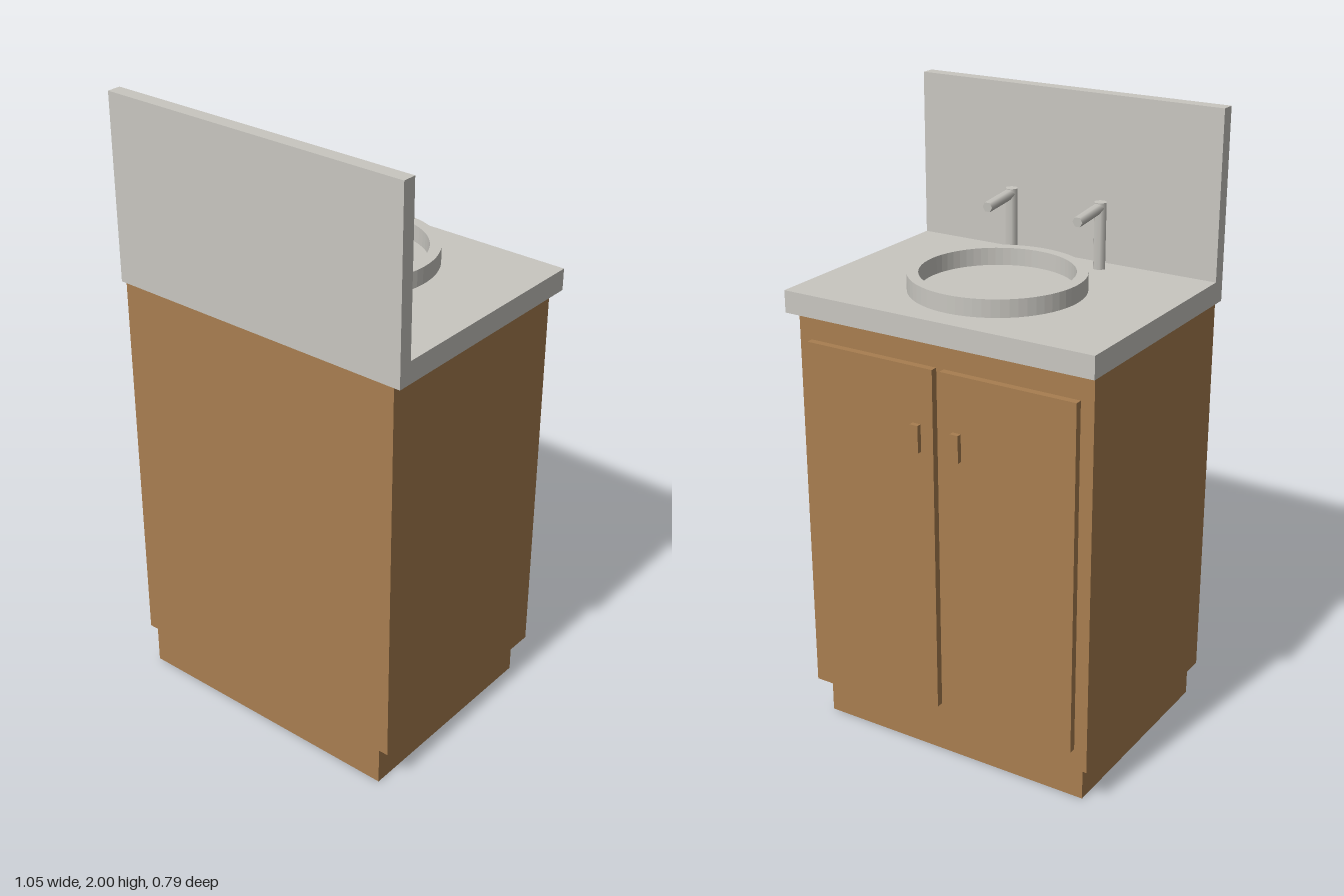
import * as THREE from 'three';

const wood = new THREE.MeshStandardMaterial({ color: 0xa87e50, side: THREE.DoubleSide });
wood.name = 'wood';
const stone = new THREE.MeshStandardMaterial({ color: 0xc8c6c0 });
stone.name = 'paleStone';

export function createModel() {
  const model = new THREE.Group();
  model.name = 'washbasinCabinet';

  const add = (name, geometry, material, parent = model) => {
    const mesh = new THREE.Mesh(geometry, material);
    mesh.name = name;
    parent.add(mesh);
    return mesh;
  };
  // Box given by its limits on each axis
  const block = (x0, x1, y0, y1, z0, z1) =>
    new THREE.BoxGeometry(x1 - x0, y1 - y0, z1 - z0)
      .translate((x0 + x1) / 2, (y0 + y1) / 2, (z0 + z1) / 2);

  // Cabinet body; its doors are on the -z side
  add('cabinetBody', block(-0.507, 0.507, 0.125, 1.405, -0.355, 0.395), wood);

  // Recessed plinth: four thin walls, open underneath
  const plinth = block(-0.475, 0.475, 0, 0.125, -0.32, 0.395);
  const faces = Array.from(plinth.index.array);
  plinth.setIndex([...faces.slice(0, 12), ...faces.slice(24)]);
  plinth.clearGroups();
  add('plinth', plinth, wood);

  // Countertop and backsplash in one L-shaped section, extruded along x
  const section = new THREE.Shape([
    [-0.395, 1.405], [0.395, 1.405], [0.395, 2], [0.35, 2], [0.35, 1.475], [-0.395, 1.475],
  ].map(([z, y]) => new THREE.Vector2(-z, y)));
  const counter = new THREE.ExtrudeGeometry(section, { depth: 1.054, bevelEnabled: false });
  counter.translate(0, 0, -0.527).rotateY(Math.PI / 2);
  add('countertopAndBacksplash', counter, stone);

  // Raised basin ring
  const ring = new THREE.Shape().absarc(0, 0, 0.27, 0, Math.PI * 2);
  ring.holes.push(new THREE.Path().absarc(0, 0, 0.235, 0, Math.PI * 2, true));
  const rim = new THREE.ExtrudeGeometry(ring, { depth: 0.055, bevelEnabled: false, curveSegments: 32 });
  rim.rotateX(-Math.PI / 2).translate(0, 1.475, -0.045);
  add('basinRim', rim, stone);

  // Six-sided rod with corners pointing along x
  const rod = (radius, length) =>
    new THREE.CylinderGeometry(radius, radius, length, 6, 1, false, Math.PI / 6);

  for (const [side, s] of [['left', 1], ['right', -1]]) {
    // Door with a small upright handle near the middle
    const door = new THREE.Group();
    door.name = side + 'Door';
    model.add(door);
    const xs = (a, b) => (s > 0 ? [a, b] : [-b, -a]);
    add(side + 'DoorPanel', block(...xs(0.013, 0.464), 0.195, 1.32, -0.378, -0.355), wood, door);
    add(side + 'DoorHandle', block(...xs(0.056, 0.084), 1.055, 1.142, -0.394, -0.378), wood, door);

    // Tap: post and slightly drooping spout
    const tap = new THREE.Group();
    tap.name = side + 'Tap';
    tap.position.set(s * 0.159, 1.475, 0.29);
    model.add(tap);
    add(side + 'TapPost', rod(0.021, 0.21).translate(0, 0.105, 0), stone, tap);
    const spout = add(side + 'TapSpout', rod(0.017, 0.142).translate(0, 0.071, 0), stone, tap);
    spout.position.y = 0.194;
    spout.rotation.x = -Math.PI / 2 - 0.1;
  }
  return model;
}
